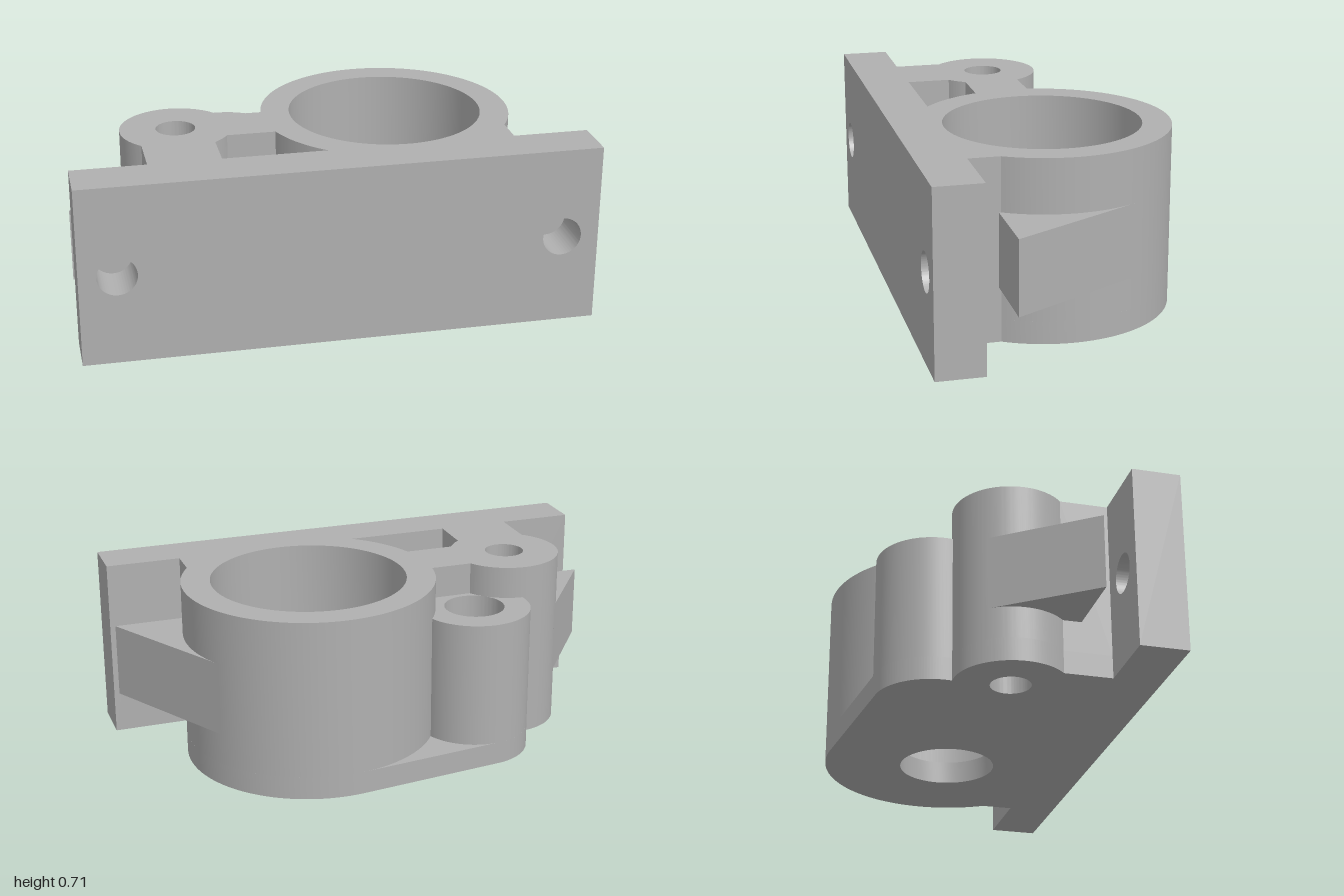
import * as THREE from 'three';
import { toCreasedNormals } from 'three/addons/utils/BufferGeometryUtils.js';

// Plan coordinates: x, and v = -z (towards the back)
const BIG = { x: 0.285, v: 0.04, r: 0.495 };
const BOSS = { x: -0.33, v: 0.245, r: 0.22 };
const POST = { x: -0.56, v: 0, r: 0.218 };
const HEIGHT = 0.713, FLOOR = 0.09, PLATE_V = -0.345;
const { PI, asin, acos, atan2, hypot } = Math;

const arc = (s, c, a, b) => s.absarc(c.x, c.v, c.r, a, b, false);
const addHole = (s, c, r) => s.holes.push(new THREE.Path().absarc(c.x, c.v, r, 0, PI * 2, true));

function extrude(shape, depth) {
  return new THREE.ExtrudeGeometry(shape, { depth, bevelEnabled: false, curveSegments: 48 });
}

export function createModel() {
  const group = new THREE.Group();
  const grey = new THREE.MeshStandardMaterial({ color: 0xb0b0b0 });
  grey.name = 'grey';

  const add = (name, geo) => {
    const mesh = new THREE.Mesh(toCreasedNormals(geo, 0.5), grey);
    mesh.name = name;
    group.add(mesh);
  };
  // Upright part from a plan shape
  const addPlan = (name, shape, y0, y1) =>
    add(name, extrude(shape, y1 - y0).rotateX(-PI / 2).translate(0, y0, 0));

  // Mounting plate with two cross holes
  const plate = new THREE.Shape([[-1, 0], [1, 0], [1, HEIGHT], [-1, HEIGHT]].map(p => new THREE.Vector2(...p)));
  for (const x of [-0.855, 0.855]) addHole(plate, { x, v: HEIGHT / 2 }, 0.076);
  add('mountingPlate', extrude(plate, 0.187).translate(0, 0, 0.345));

  // Angles where the outline meets the two side columns
  const bigStart = -acos((0.705 - BIG.x) / BIG.r);
  const postEnd = PI + acos((POST.x + 0.71) / POST.r);

  // Floor slab, wrapping round all three cylinders
  const dx = BOSS.x - BIG.x, dv = BOSS.v - BIG.v;
  const tangent = atan2(dv, dx) - acos((BIG.r - BOSS.r) / hypot(dx, dv));
  const floor = new THREE.Shape();
  floor.moveTo(-0.71, PLATE_V);
  floor.lineTo(0.705, PLATE_V);
  arc(floor, BIG, bigStart, tangent);
  arc(floor, BOSS, tangent, 3.256);
  arc(floor, POST, 1.52, postEnd);
  floor.closePath();
  addHole(floor, BIG, 0.19);
  addHole(floor, POST, 0.077);
  addPlan('floorSlab', floor, 0, FLOOR);

  // Main body: large bore, post, joining wall and front pocket
  const body = new THREE.Shape();
  body.moveTo(-0.71, PLATE_V);
  body.lineTo(-0.43, PLATE_V);
  arc(body, POST, -acos((-0.43 - POST.x) / POST.r), -asin(0.115 / POST.r));
  arc(body, BIG, PI + asin((0.115 + BIG.v) / BIG.r), PI + asin((BIG.v - PLATE_V) / BIG.r));
  body.lineTo(0.705, PLATE_V);
  arc(body, BIG, bigStart, PI - asin((0.105 - BIG.v) / BIG.r));
  arc(body, POST, asin(0.105 / POST.r), postEnd);
  body.closePath();
  addHole(body, BIG, 0.382);
  addHole(body, POST, 0.077);
  addPlan('boredBody', body, FLOOR, HEIGHT);

  // Lower boss with a blind bore
  const boss = new THREE.Shape();
  arc(boss, BOSS, 0, PI * 2);
  addHole(boss, BOSS, 0.118);
  addPlan('lowerBoss', boss, FLOOR, 0.587);

  // Side gussets, tangent to the neighbouring cylinder
  for (const [name, c, side, rootX] of [['leftGusset', BIG, 1, 0.69], ['rightGusset', POST, -1, -0.7]]) {
    const px = side, pv = -0.23;
    const a = atan2(pv - c.v, px - c.x) + side * acos(c.r / hypot(px - c.x, pv - c.v));
    const gusset = new THREE.Shape([
      new THREE.Vector2(px, pv),
      new THREE.Vector2(c.x + c.r * Math.cos(a), c.v + c.r * Math.sin(a)),
      new THREE.Vector2(rootX, pv),
    ]);
    addPlan(name, gusset, 0.213, 0.502);
  }
  return group;
}
